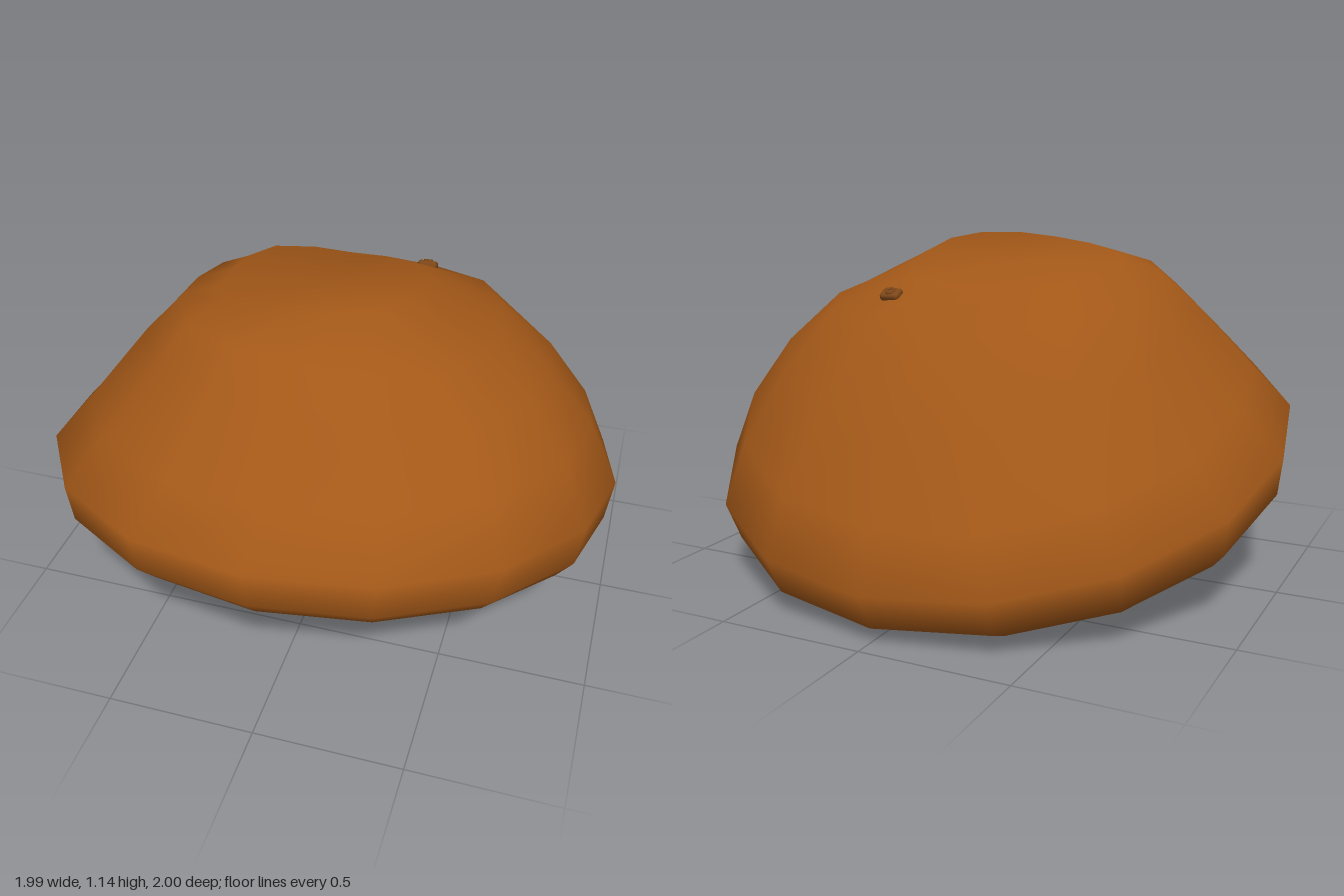
import * as THREE from 'three';
import { RoundedBoxGeometry } from 'three/addons/geometries/RoundedBoxGeometry.js';

const SIDES = 16;

// One ring of the shell: cardinal extents, their heights, how square it is,
// and how far its diagonal corners are warped up or down.
// x: [right, left], z: [back, front], y: [right, left, back, front]
function ring({ x, z, y, square = 2, warp = 0 }) {
  const points = [];
  const [yr, yl, yb, yf] = y;
  for (let i = 0; i < SIDES; i++) {
    const t = (i / SIDES) * Math.PI * 2;
    const c = Math.cos(t), s = Math.sin(t);
    const k = 1 / Math.pow(Math.abs(c) ** square + Math.abs(s) ** square, 1 / square);
    points.push(new THREE.Vector3(
      (x[0] + x[1]) / 2 + (c * k * (x[1] - x[0])) / 2,
      (yr + yl + yb + yf) / 4 + (c * (yl - yr)) / 2 + (s * (yf - yb)) / 2
        + (Math.cos(2 * t) * (yr + yl - yb - yf)) / 4 + warp * Math.sin(2 * t),
      (z[0] + z[1]) / 2 + (s * k * (z[1] - z[0])) / 2));
  }
  return points;
}

// Skin a list of rings and close the last one with a centre point
function skin(rings, cap, capFacesDown = false) {
  const points = [...rings.flat(), cap];
  const centre = points.length - 1;
  const index = [];
  for (let r = 0; r < rings.length; r++) {
    for (let i = 0; i < SIDES; i++) {
      const a = r * SIDES + i, b = r * SIDES + ((i + 1) % SIDES);
      if (r < rings.length - 1) index.push(a, a + SIDES, b, b, a + SIDES, b + SIDES);
      else if (capFacesDown) index.push(a, b, centre);
      else index.push(a, centre, b);
    }
  }
  const geometry = new THREE.BufferGeometry().setFromPoints(points);
  geometry.setIndex(index);
  geometry.computeVertexNormals();
  return geometry;
}

export function createModel() {
  const group = new THREE.Group();
  const material = (name, color) => {
    const m = new THREE.MeshStandardMaterial({ color });
    m.name = name;
    return m;
  };
  const brown = material('rust brown', 0xa35818);
  const dark = material('dark underside', 0x574229);
  const olive = material('dark olive', 0x503e10);
  const deepBrown = material('deep brown', 0x7c4618);

  const add = (name, geometry, mat, parent = group) => {
    const mesh = new THREE.Mesh(geometry, mat);
    mesh.name = name;
    parent.add(mesh);
    return mesh;
  };

  // Shell, from the inner wall around the lip and up to the crown
  const inner = ring({ x: [-0.8, 0.77], z: [-0.73, 0.75], y: [0.34, 0.34, 0.13, 0.5] });
  const shell = [
    inner,
    ring({ x: [-0.85, 0.83], z: [-0.74, 0.82], y: [0.28, 0.28, 0.02, 0.46] }),
    ring({ x: [-0.93, 0.92], z: [-0.82, 0.91], y: [0.26, 0.27, 0, 0.46] }),
    ring({ x: [-0.98, 0.97], z: [-0.94, 0.99], y: [0.33, 0.34, 0.05, 0.56], square: 2.05 }),
    ring({ x: [-1, 0.99], z: [-1, 1], y: [0.46, 0.48, 0.17, 0.69], square: 2.07 }),
    ring({ x: [-0.86, 0.88], z: [-0.92, 0.84], y: [0.62, 0.68, 0.35, 0.81], square: 2.2, warp: -0.005 }),
    ring({ x: [-0.67, 0.72], z: [-0.75, 0.58], y: [0.86, 0.84, 0.63, 0.95], square: 2.35, warp: -0.02 }),
    ring({ x: [-0.55, 0.53], z: [-0.58, 0.41], y: [1.0, 0.97, 0.9, 1.04], square: 2.7, warp: -0.015 }),
    ring({ x: [-0.41, 0.26], z: [-0.4, 0.25], y: [1.06, 1.1, 1.01, 1.13], square: 3.2, warp: 0.01 }),
  ];
  add('shell', skin(shell, new THREE.Vector3(-0.07, 1.07, -0.07)), brown);

  // Recessed panel closing the underside
  add('undersidePanel', skin([inner], new THREE.Vector3(0, 0.32, 0.01), true), dark);

  // Shallow dome hanging from the panel
  const dome = new THREE.SphereGeometry(1, 32, 8, 0, Math.PI * 2, Math.PI / 2, Math.PI / 2);
  dome.scale(0.44, 0.055, 0.55);
  const lens = add('undersideDome', dome, olive);
  lens.position.set(-0.01, 0.305, 0);
  lens.rotation.x = -0.25;

  // Small eyelet on the rear slope
  const eyelet = new THREE.Group();
  eyelet.name = 'eyelet';
  eyelet.position.set(0.205, 0.98, -0.44);
  eyelet.rotation.x = -0.5;
  add('eyeletBase', new RoundedBoxGeometry(0.07, 0.03, 0.05, 3, 0.012), deepBrown, eyelet);
  const loop = new THREE.TorusGeometry(0.013, 0.005, 8, 16).rotateX(Math.PI / 2);
  add('eyeletRing', loop, deepBrown, eyelet).position.y = 0.015;
  group.add(eyelet);

  return group;
}
